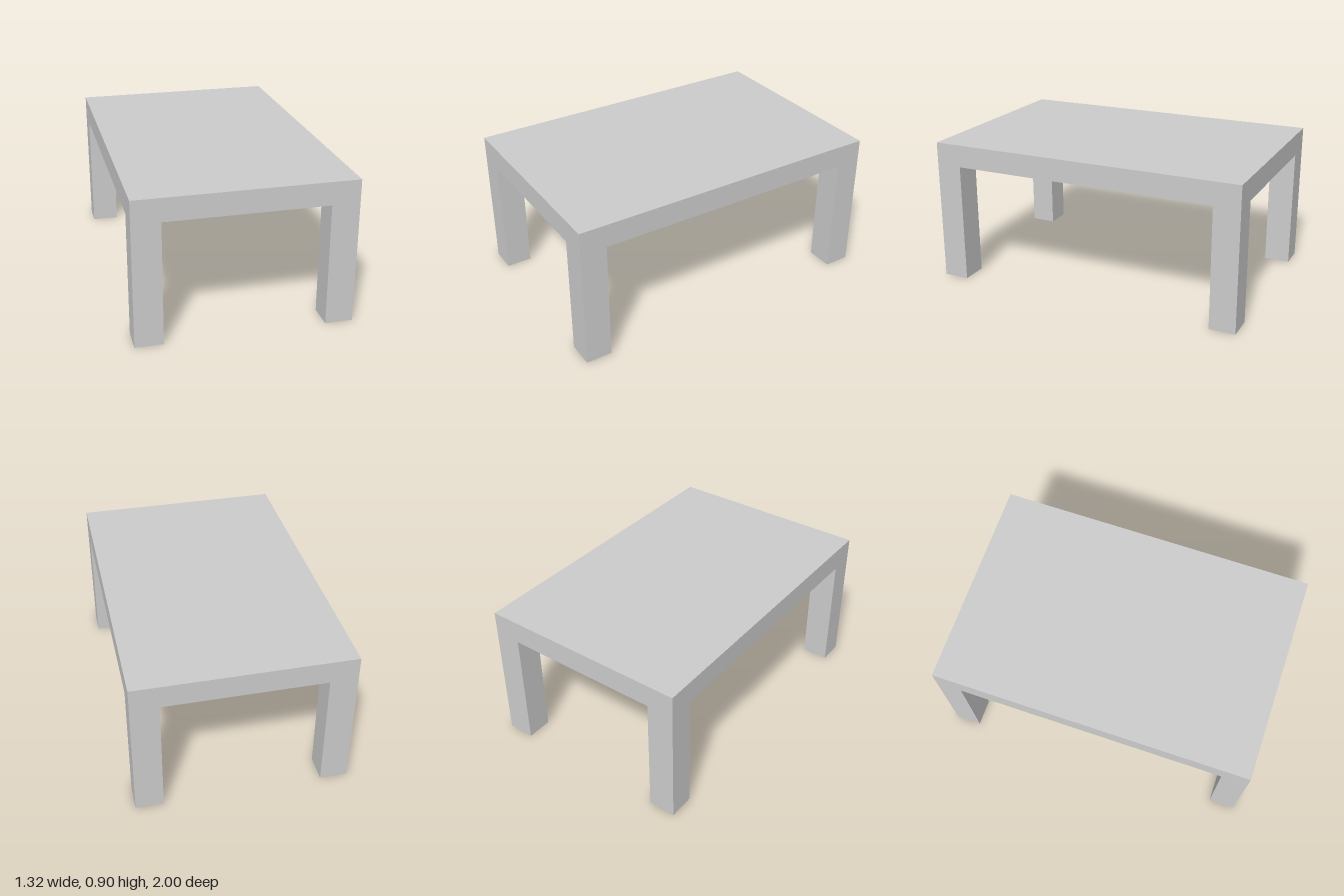
import * as THREE from 'three';

const WIDTH = 1.315, DEPTH = 2, HEIGHT = 0.902;
const UNDERSIDE = 0.76;              // height of the legs
const LEG_W = 0.17, LEG_D = 0.163;

export function createModel() {
  const group = new THREE.Group();
  group.name = 'table';
  const material = new THREE.MeshStandardMaterial({ color: 0xcccccc, flatShading: true });

  const addBox = (name, w, h, d, x, y, z) => {
    const mesh = new THREE.Mesh(new THREE.BoxGeometry(w, h, d), material);
    mesh.name = name;
    mesh.position.set(x, y, z);
    group.add(mesh);
  };

  // Thick slab top
  const thickness = HEIGHT - UNDERSIDE;
  addBox('tabletop', WIDTH, thickness, DEPTH, 0, UNDERSIDE + thickness / 2, 0);

  // Four legs, flush with the corners of the top
  for (const [side, sx] of [['Left', 1], ['Right', -1]]) {
    for (const [end, sz] of [['front', 1], ['back', -1]]) {
      addBox(`${end}${side}Leg`, LEG_W, UNDERSIDE, LEG_D,
        sx * (WIDTH - LEG_W) / 2, UNDERSIDE / 2, sz * (DEPTH - LEG_D) / 2);
    }
  }
  return group;
}
